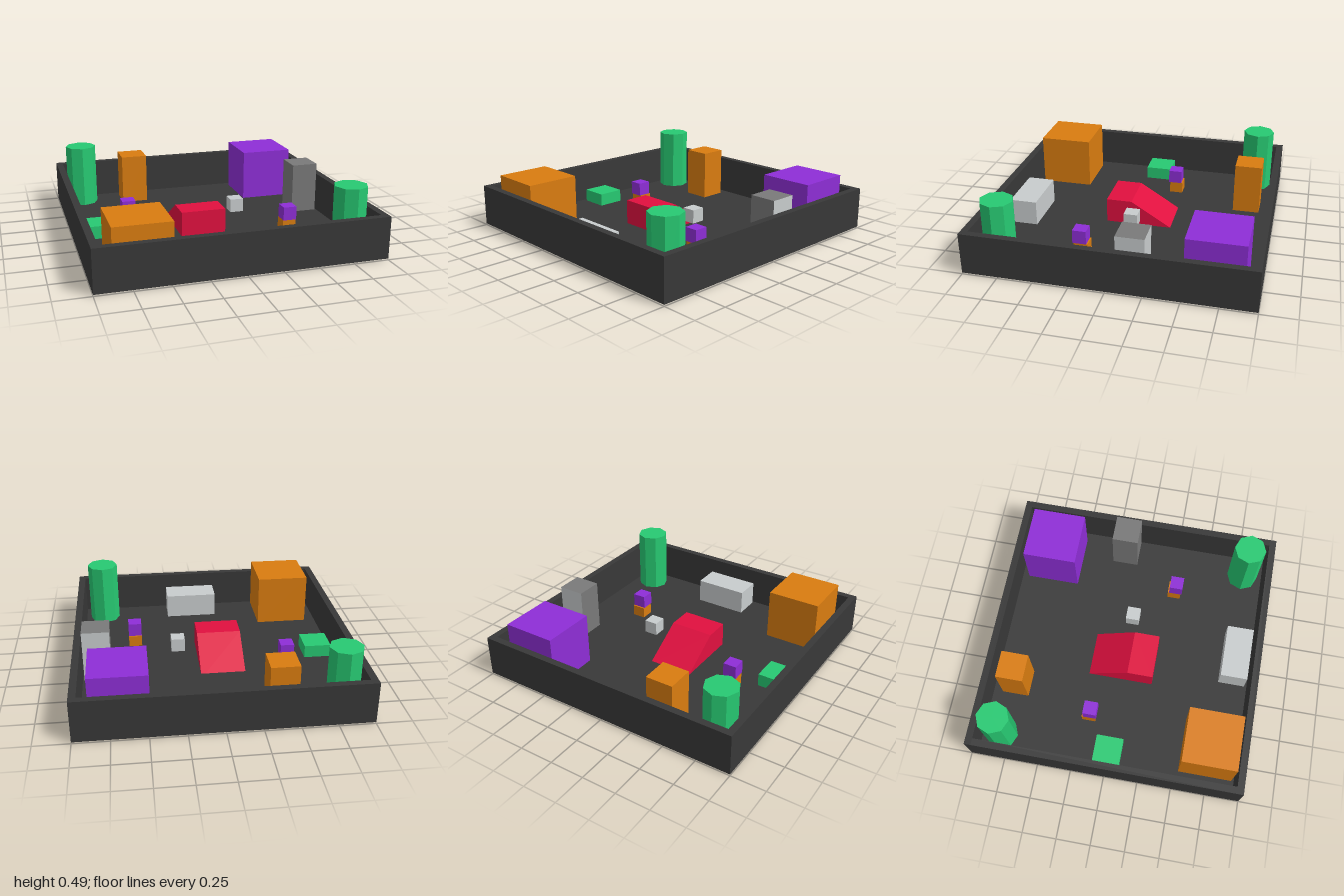
import * as THREE from 'three';

const mat = (name, color) => {
  const m = new THREE.MeshStandardMaterial({ color });
  m.name = name;
  return m;
};

export function createModel() {
  const charcoal = mat('charcoal', 0x383838);
  const green = mat('green', 0x27c972);
  const orange = mat('orange', 0xd97c10);
  const purple = mat('purple', 0x8e2ed6);
  const crimson = mat('crimson', 0xe0103f);
  const lightGrey = mat('lightGrey', 0xc8cccd);
  const grey = mat('grey', 0x797979);

  const model = new THREE.Group();
  model.name = 'arena';

  const add = (name, geometry, material, x = 0, y = 0, z = 0) => {
    const mesh = new THREE.Mesh(geometry, material);
    mesh.name = name;
    mesh.position.set(x, y, z);
    model.add(mesh);
    return mesh;
  };
  // Box given by its extents along each axis
  const box = (name, material, [x0, x1], [y0, y1], [z0, z1]) =>
    add(name, new THREE.BoxGeometry(x1 - x0, y1 - y0, z1 - z0), material,
      (x0 + x1) / 2, (y0 + y1) / 2, (z0 + z1) / 2);

  // Tray: thin floor and four walls
  box('floor', charcoal, [-0.95, 0.95], [0.01, 0.02], [-0.95, 0.95]);
  for (const s of [-1, 1]) {
    const span = s < 0 ? [-1, -0.95] : [0.95, 1];
    box(s < 0 ? 'rightWall' : 'leftWall', charcoal, span, [0.01, 0.31], [-0.95, 0.95]);
    box(s < 0 ? 'backWall' : 'frontWall', charcoal, [-1, 1], [0.01, 0.31], span);
  }

  // Octagonal pillars in opposite corners, open underneath
  for (const [name, x, z] of [['backPillar', -0.815, -0.807], ['frontPillar', 0.795, 0.795]]) {
    const side = new THREE.CylinderGeometry(0.118, 0.118, 0.49, 8, 1, true);
    const pillar = add(name, side.toNonIndexed(), green, x, 0.245, z);
    pillar.geometry.computeVertexNormals();
    const cap = new THREE.Mesh(new THREE.CircleGeometry(0.118, 8), green);
    cap.name = name + 'Top';
    cap.rotation.x = -Math.PI / 2;
    cap.position.y = 0.245;
    pillar.add(cap);
  }

  // Large blocks
  box('frontOrangeBlock', orange, [-0.865, -0.47], [0.012, 0.405], [0.535, 0.93]);
  box('tallOrangeBlock', orange, [-0.5, -0.3], [0, 0.4], [-0.88, -0.68]);
  box('purpleBlock', purple, [0.487, 0.885], [0.012, 0.41], [-0.9, -0.5]);
  box('lowGreenBlock', green, [-0.92, -0.72], [0, 0.115], [-0.1, 0.1]);
  box('frontGreyBlock', lightGrey, [-0.13, 0.27], [0.012, 0.205], [0.73, 0.93]);

  // Two-tone block beside the wall
  box('twoToneBlock', [lightGrey, grey, grey, grey, grey, lightGrey],
    [0.74, 0.938], [0.012, 0.4], [-0.255, -0.058]);

  // Central ramp, rising from the back to a flat top
  const profile = new THREE.Shape([
    new THREE.Vector2(-0.23, 0), new THREE.Vector2(0.29, 0),
    new THREE.Vector2(-0.04, 0.203), new THREE.Vector2(-0.23, 0.203),
  ]);
  const ramp = new THREE.ExtrudeGeometry(profile, { depth: 0.33, bevelEnabled: false });
  ramp.rotateY(Math.PI / 2);
  add('ramp', ramp, crimson, -0.24, 0, 0);

  // Floating cube
  box('floatingCube', lightGrey, [0.19, 0.29], [0.105, 0.205], [-0.05, 0.05]);

  // Two small stacked figures
  for (const [side, x, z] of [['right', -0.555, -0.18], ['left', 0.555, 0.29]]) {
    box(side + 'FigureBase', orange, [x - 0.05, x + 0.05], [0.012, 0.105], [z - 0.06, z + 0.04]);
    box(side + 'FigureTop', purple, [x - 0.05, x + 0.05], [0.105, 0.205], [z - 0.05, z + 0.05]);
  }

  return model;
}
